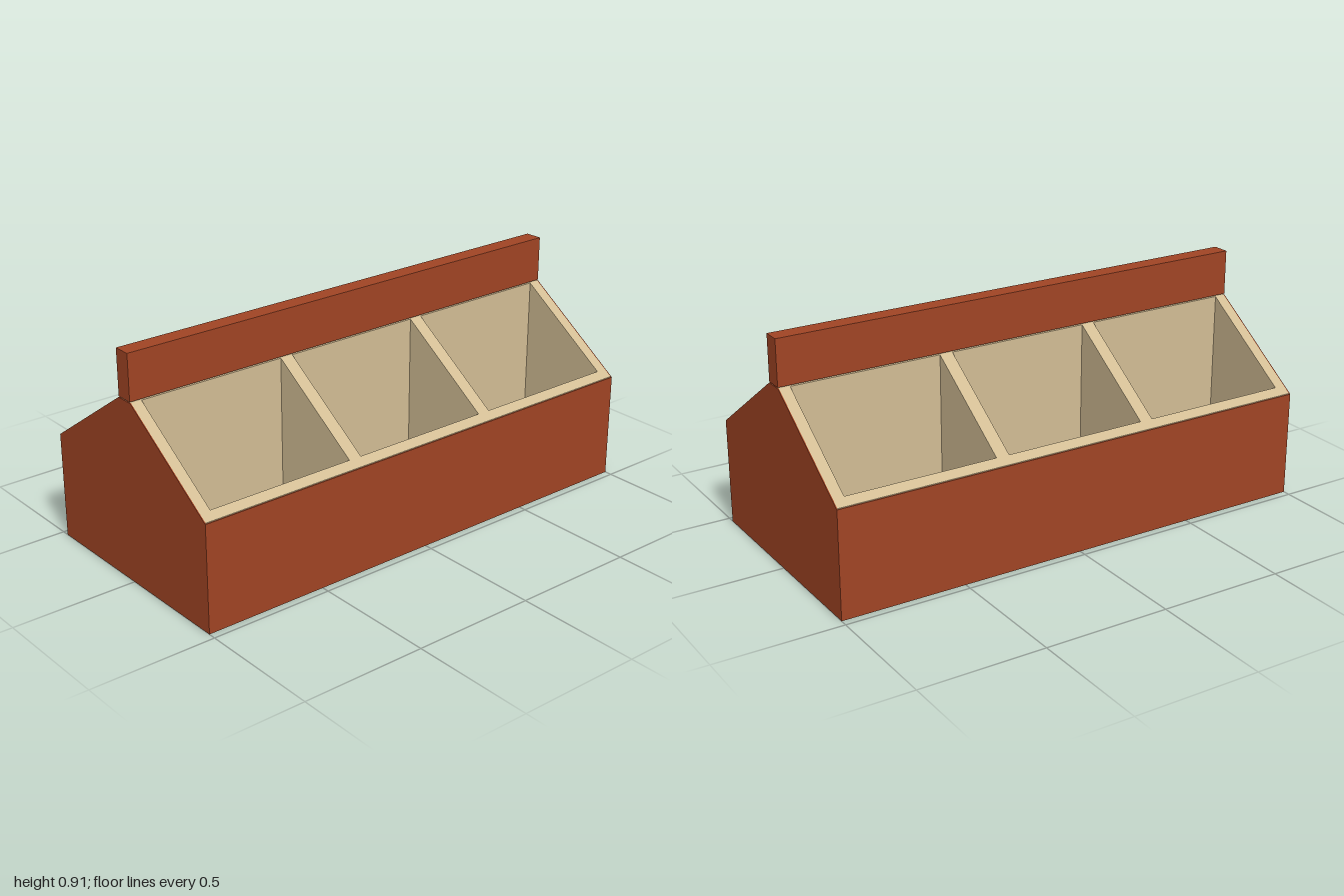
import * as THREE from 'three';

const RED = new THREE.MeshStandardMaterial({ color: 0xa04424 });
RED.name = 'brick red';
const TAN = new THREE.MeshStandardMaterial({ color: 0xd2bd94 });
TAN.name = 'tan';

const SKIN = 0.004;                   // thickness of the red cladding
const DEPTH = 0.47, EAVE = 0.425;     // half depth, height of the front and back
const SPINE = 0.037, RIDGE = 0.72;    // half thickness and height of the middle wall
const RIM = 0.433, FLOOR = 0.04;      // inner face of the outer wall, bin floor
const slopeY = z => EAVE + (DEPTH - z) * (RIDGE - EAVE) / (DEPTH - SPINE);

// Extrudes a symmetric cross-section, given as its front half [z, y], from x0 to x1
function crossSection(name, half, x0, x1, material) {
  const back = half.map(([z, y]) => [-z, y]).reverse();
  const shape = new THREE.Shape([...half, ...back].map(([z, y]) => new THREE.Vector2(z, y)));
  const geometry = new THREE.ExtrudeGeometry(shape, { depth: x1 - x0, bevelEnabled: false });
  geometry.rotateY(Math.PI / 2).translate(x0, 0, 0);
  const mesh = new THREE.Mesh(geometry, material);
  mesh.name = name;
  return mesh;
}

function box(name, size, position, material) {
  const mesh = new THREE.Mesh(new THREE.BoxGeometry(...size), material);
  mesh.name = name;
  mesh.position.set(...position);
  return mesh;
}

export function createModel() {
  const model = new THREE.Group();
  model.name = 'displayBin';

  const inner = DEPTH - SKIN;
  const wall = [[inner, SKIN], [inner, slopeY(inner)], [SPINE, RIDGE]];
  const trough = [[inner, SKIN], [inner, slopeY(inner)], [RIM, slopeY(RIM)],
    [RIM, FLOOR], [SPINE, FLOOR], [SPINE, RIDGE]];

  // End walls and dividers, flush with the sloping rims
  const walls = [[-1 + SKIN, -0.953], [-0.345, -0.292], [0.292, 0.345], [0.953, 1 - SKIN]];
  walls.forEach(([x0, x1], i) => {
    const name = i === 0 || i === 3 ? 'endWall' : 'divider';
    model.add(crossSection(name, wall, x0, x1, TAN));
    // Pair of open compartments up to the next wall
    if (i < 3) model.add(crossSection('compartments', trough, x1, walls[i + 1][0], TAN));
  });

  // Red cladding on the ends, long sides and base
  const gable = [[DEPTH, 0], [DEPTH, EAVE], [SPINE, RIDGE]];
  model.add(crossSection('rightEndPanel', gable, -1, -1 + SKIN, RED));
  model.add(crossSection('leftEndPanel', gable, 1 - SKIN, 1, RED));
  const length = 2 - 2 * SKIN;
  for (const [name, side] of [['frontPanel', 1], ['backPanel', -1]]) {
    model.add(box(name, [length, EAVE, SKIN], [0, EAVE / 2, side * (DEPTH - SKIN / 2)], RED));
  }
  model.add(box('basePanel', [length, SKIN, 2 * inner], [0, SKIN / 2, 0], RED));

  // Header board just above the ridge
  model.add(box('headerBoard', [2, 0.182, 0.07], [0, 0.815, 0], RED));

  return model;
}
